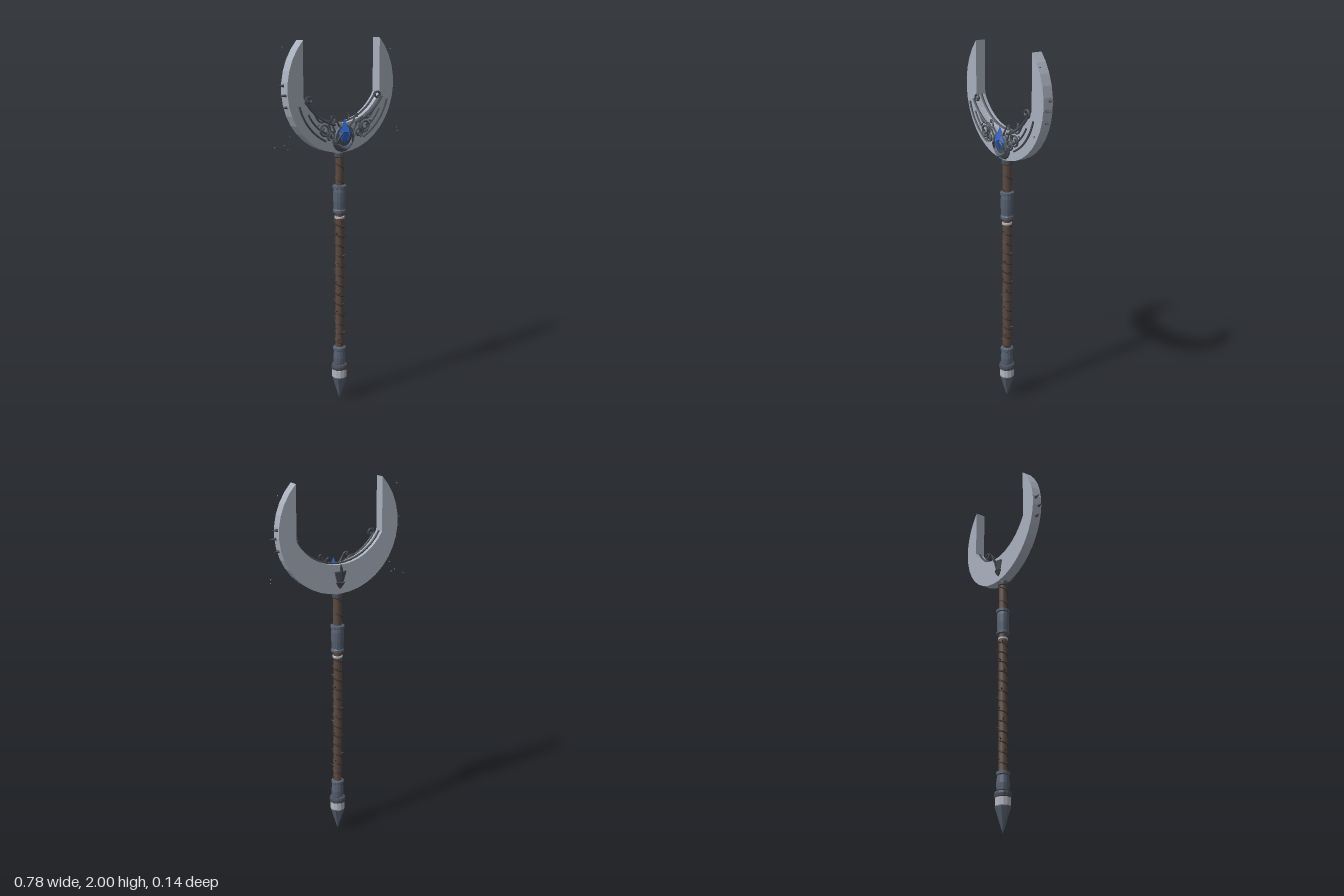
import * as THREE from 'three';

const mat = (name, color, extra = {}) => Object.assign(new THREE.MeshStandardMaterial({ color, ...extra }), { name });

export function createModel() {
  const blade = mat('blade steel', 0xa9b0bd);
  const slate = mat('slate metal', 0x566070);
  const iron = mat('dark iron', 0x4a4e57);
  const wood = mat('brown wood', 0x5c4a42);
  const bark = mat('dark bark', 0x40352f);
  const pale = mat('pale metal', 0xb4b7c0);
  const gemBlue = mat('blue gem', 0x2f63c4);
  for (const m of [slate, gemBlue, iron, pale]) m.flatShading = true;

  const root = new THREE.Group();
  root.name = 'crescentStaff';
  const V = (x, y, z = 0) => new THREE.Vector3(x, y, z);
  const add = (name, geo, material, x = 0, y = 0, z = 0, parent = root) => {
    const m = new THREE.Mesh(geo, material);
    m.name = name;
    m.position.set(x, y, z);
    parent.add(m);
    return m;
  };
  const lathe = (name, pts, material, sides = 12) =>
    add(name, new THREE.LatheGeometry(pts.map(p => new THREE.Vector2(...p)), sides), material);
  const vine = (name, pts, r, material = iron, seg = 24) =>
    add(name, new THREE.TubeGeometry(new THREE.CatmullRomCurve3(pts), seg, r, 5), material);
  // cone with its base at a point, aimed along a direction
  const thorn = (name, base, dir, r, len, material, sides = 5) => {
    const geo = new THREE.ConeGeometry(r, len, sides).translate(0, len / 2, 0);
    const m = add(name, geo, material, base.x, base.y, base.z);
    m.quaternion.setFromUnitVectors(V(0, 1), dir.clone().normalize());
    return m;
  };

  // Crescent blade: round outside, straight upper horns and a shallow inner arc
  const CY = 1.76, R = 0.345, IY = 1.854, IR = 0.285;
  const shape = new THREE.Shape();
  const a0 = Math.asin(0.24 / R), sweep = Math.PI + 2 * a0;
  const innerArc = (n, r = IR, z = 0) => Array.from({ length: n + 1 }, (_, i) => {
    const a = Math.PI * 1.5 - 1.06 + (2.12 * i) / n;
    return V(r * Math.cos(a), IY + r * Math.sin(a), z);
  });
  for (let i = 0; i <= 28; i++) {
    const a = a0 - (sweep * i) / 28;
    const x = R * Math.cos(a), y = CY + R * Math.sin(a);
    i ? shape.lineTo(x, y) : shape.moveTo(x, y);
  }
  for (const p of innerArc(16)) shape.lineTo(p.x, p.y);
  shape.closePath();
  add('blade', new THREE.ExtrudeGeometry(shape, { depth: 0.056, bevelEnabled: false }), blade, 0, 0, -0.03);
  vine('innerRim', innerArc(16, IR - 0.002, -0.003), 0.007, iron, 40);

  // Spikes on the outer edge
  for (const s of [-1, 1]) {
    [[1.78, 0.04, -0.012], [1.733, 0.045, 0.008], [1.672, 0.03, 0]].forEach(([y, len, z]) => {
      const x = Math.sqrt(R * R - (y - CY) ** 2) - 0.003;
      thorn('edgeSpike', V(s * x, y, z), V(s, (y - CY) * 0.8, 0), 0.009, len, iron, 6);
    });
  }

  // Scrollwork on the front face, mirrored
  const arcPts = (s, r, from, to, z, cy = CY) => Array.from({ length: 9 }, (_, i) => {
    const a = from + ((to - from) * i) / 8;
    return V(s * r * Math.cos(a), cy + r * Math.sin(a), z);
  });
  const spiral = (s, cx, cy, r, turns, start, z) => Array.from({ length: 20 }, (_, i) => {
    const t = i / 19, a = start + turns * Math.PI * 2 * t, q = r * (1 - 0.75 * t);
    return V(s * (cx + q * Math.cos(a)), cy + q * Math.sin(a), z + 0.004 * t);
  });
  for (const s of [-1, 1]) {
    vine('outerStem', arcPts(s, 0.298, -0.28, -1.15, 0.043), 0.0055);
    vine('middleStem', arcPts(s, 0.265, -0.5, -1.3, 0.044), 0.005);
    vine('innerStem', arcPts(s, 0.293, -0.57, -1.35, 0.046, IY), 0.007);
    vine('largeScroll', spiral(s, 0.132, 1.548, 0.037, 1.8, 2.4, 0.045), 0.0055, iron, 60);
    vine('smallScroll', spiral(s, 0.09, 1.515, 0.027, 1.5, -1.2, 0.047), 0.005, iron, 48);
    vine('tipCurl', spiral(s, 0.222, 1.702, 0.024, 1.2, -1.0, 0.036), 0.006, iron, 40);
    vine('crownCurl', [V(s * 0.03, 1.55, 0.045), V(s * 0.055, 1.585, 0.05), V(s * 0.068, 1.61, 0.045),
      V(s * 0.085, 1.612, 0.042), V(s * 0.082, 1.595, 0.045)], 0.005);
    vine('stemLink', [V(s * 0.06, 1.53, 0.042), V(s * 0.1, 1.59, 0.046), V(s * 0.16, 1.59, 0.045),
      V(s * 0.2, 1.64, 0.045)], 0.005);
    thorn('stemThorn', V(s * 0.165, 1.575, 0.043), V(s, -0.5, 0.2), 0.005, 0.03, iron);
  }

  // Gem and its setting
  add('gemSetting', new THREE.SphereGeometry(0.07, 14, 8), iron, 0, 1.487, 0.024).scale.set(1, 1, 0.33);
  add('settingRing', new THREE.TorusGeometry(0.057, 0.009, 6, 18), slate, 0, 1.5, 0.042);
  add('gem', new THREE.OctahedronGeometry(1, 0).rotateY(0.3), gemBlue, 0, 1.528, 0.044).scale.set(0.036, 0.068, 0.028);
  for (const s of [-1, 1]) {
    add('sideGem', new THREE.OctahedronGeometry(1, 0), gemBlue, s * 0.02, 1.515, 0.047).scale.set(0.022, 0.042, 0.018);
    vine('gemClaw', [V(s * 0.05, 1.47, 0.045), V(s * 0.042, 1.5, 0.058), V(s * 0.022, 1.525, 0.06)], 0.006, iron, 8);
  }
  vine('settingLip', [V(-0.045, 1.462, 0.045), V(0, 1.44, 0.054), V(0.045, 1.462, 0.045)], 0.008, slate, 12);

  // Pointed bracket and horn behind the blade
  const bracket = add('backBracket', new THREE.CylinderGeometry(0.045, 0.028, 0.06, 8), iron, 0, 1.505, -0.012);
  bracket.scale.z = 0.85;
  add('backPoint', new THREE.ConeGeometry(0.03, 0.05, 6).rotateX(Math.PI), iron, 0, 1.452, -0.022);
  vine('backHornRoot', [V(0.0, 1.51, -0.035), V(0.006, 1.535, -0.052), V(0.01, 1.56, -0.06)], 0.008, iron, 8);
  thorn('backHorn', V(0.01, 1.555, -0.058), V(0.012, 0.04, -0.015), 0.009, 0.042, iron);
  vine('rimSprout', [V(0.06, 1.57, -0.004), V(0.075, 1.6, -0.015), V(0.065, 1.615, -0.022)], 0.005, iron, 8);

  // Shaft with spiral binding and thorns
  add('shaft', new THREE.CylinderGeometry(0.023, 0.024, 1.15, 10), wood, 0, 0.865, 0);
  const helix = (y0, y1, turns, phase) => Array.from({ length: turns * 8 + 1 }, (_, i) => {
    const a = phase + (i / 8) * Math.PI * 2;
    return V(0.0235 * Math.cos(a), y0 + ((y1 - y0) * i) / (turns * 8), 0.0235 * Math.sin(a));
  });
  vine('binding', helix(0.32, 1.05, 13, 0), 0.0045, bark, 208);
  vine('upperBinding', helix(1.245, 1.41, 2, 1), 0.003, bark, 32);
  for (let i = 0; i < 34; i++) {
    const a = i * 2.4, y = 0.335 + i * 0.0212;
    thorn('shaftThorn', V(0.022 * Math.cos(a), y, 0.022 * Math.sin(a)),
      V(Math.cos(a), 0.5, Math.sin(a)), 0.006, 0.018, bark, 4);
  }
  lathe('shaftTopRing', [[0.023, 1.385], [0.028, 1.39], [0.028, 1.41], [0.023, 1.42]], iron);

  // Metal collars
  lathe('upperCollar', [[0.023, 1.085], [0.036, 1.088], [0.036, 1.1], [0.031, 1.106], [0.034, 1.15],
    [0.034, 1.2], [0.031, 1.217], [0.038, 1.22], [0.038, 1.234], [0.023, 1.238]], slate);
  lathe('paleRing', [[0.022, 1.052], [0.028, 1.054], [0.028, 1.064], [0.022, 1.066]], pale);
  lathe('lowerCollar', [[0.026, 0.208], [0.033, 0.216], [0.035, 0.25], [0.03, 0.292], [0.036, 0.296],
    [0.036, 0.31], [0.023, 0.316]], slate);

  // Foot: ring, pale band and spike
  lathe('footRing', [[0.03, 0.176], [0.044, 0.18], [0.046, 0.195], [0.043, 0.207], [0.028, 0.212]], iron);
  lathe('footBand', [[0.041, 0.134], [0.041, 0.177], [0.03, 0.18]], pale);
  lathe('footSpike', [[0, 0], [0.008, 0.02], [0.042, 0.13], [0.041, 0.136]], slate, 8);

  // Loose shards drifting around the blade
  [[-0.395, 1.475, -0.02], [-0.365, 1.488, 0.02], [-0.363, 1.47, 0.05], [-0.34, 1.53, 0.035], [-0.318, 1.965, -0.055],
    [0.36, 1.5, 0.05], [0.36, 1.52, 0.045], [0.318, 1.94, 0.03], [0.29, 1.6, 0.04]].forEach(([x, y, z]) =>
    add('shard', new THREE.TetrahedronGeometry(0.005), iron, x, y, z));

  return root;
}
